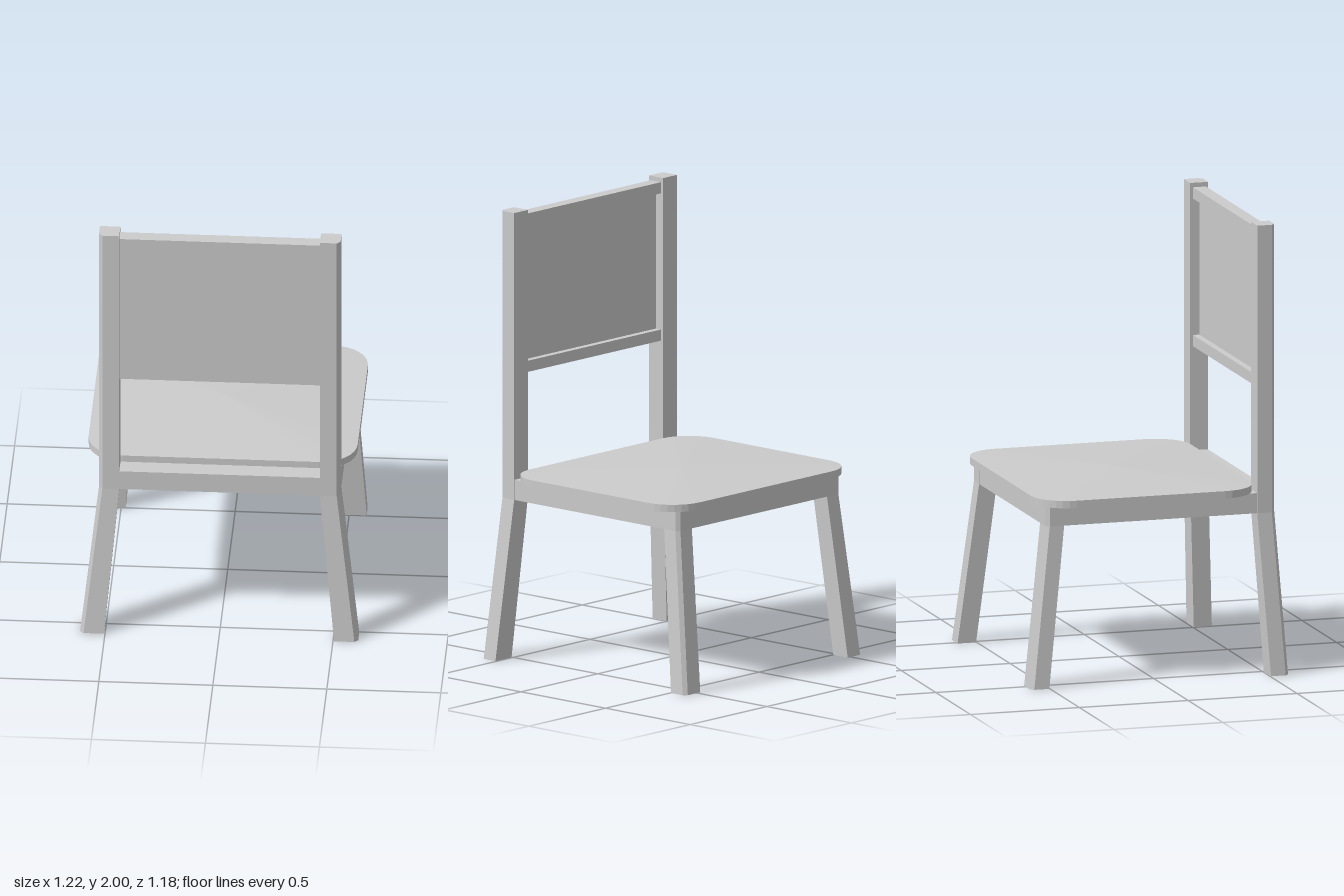
import * as THREE from 'three';

const material = new THREE.MeshStandardMaterial({ color: 0xcccccc, flatShading: true });

// Stack of rings, each { y, pts: [[x, z], ...] } running from +x towards +z,
// closed at both ends; crown lifts the centre of the top cap.
function loft(rings, crown = 0) {
  const pos = [];
  const tri = (...corners) => corners.forEach(c => pos.push(...c));
  const at = (r, i) => {
    const [x, z] = r.pts[i % r.pts.length];
    return [x, r.y, z];
  };
  const centre = (r, lift) => {
    const n = r.pts.length;
    return [r.pts.reduce((s, p) => s + p[0], 0) / n, r.y + lift, r.pts.reduce((s, p) => s + p[1], 0) / n];
  };
  const first = rings[0], last = rings[rings.length - 1];
  for (let i = 0; i < first.pts.length; i++) {
    for (let k = 0; k + 1 < rings.length; k++) {
      const lo = rings[k], hi = rings[k + 1];
      tri(at(lo, i), at(hi, i), at(hi, i + 1));
      tri(at(lo, i), at(hi, i + 1), at(lo, i + 1));
    }
    tri(centre(first, 0), at(first, i), at(first, i + 1));
    tri(centre(last, crown), at(last, i + 1), at(last, i));
  }
  const g = new THREE.BufferGeometry();
  g.setAttribute('position', new THREE.Float32BufferAttribute(pos, 3));
  g.computeVertexNormals();
  return g;
}

// Leg section with its outer corner bevelled, mirrored by the signs sx and sz
function legSection(y, xi, xo, zi, zo, sx, sz) {
  const c = 0.016;
  const pts = [[xi, zi], [xo, zi], [xo, zo - c], [xo - c, zo], [xi, zo]]
    .map(([x, z]) => [x * sx, z * sz]);
  return { y, pts: sx * sz < 0 ? pts.reverse() : pts };
}

// Rectangle with rounded corners; one segment gives a plain bevel
function roundedRect(y, hx, z0, z1, r, segments) {
  const pts = [];
  const corners = [[hx - r, z1 - r], [r - hx, z1 - r], [r - hx, z0 + r], [hx - r, z0 + r]];
  corners.forEach(([cx, cz], q) => {
    for (let i = 0; i <= segments; i++) {
      const a = (q + i / segments) * Math.PI / 2;
      pts.push([cx + r * Math.cos(a), cz + r * Math.sin(a)]);
    }
  });
  return { y, pts };
}

export function createModel() {
  const model = new THREE.Group();
  const add = (name, geometry, parent = model) => {
    const mesh = new THREE.Mesh(geometry, material);
    mesh.name = name;
    parent.add(mesh);
    return mesh;
  };
  const addBox = (name, x0, x1, y0, y1, z0, z1, parent) =>
    add(name, new THREE.BoxGeometry(x1 - x0, y1 - y0, z1 - z0), parent)
      .position.set((x0 + x1) / 2, (y0 + y1) / 2, (z0 + z1) / 2);

  // Splayed legs; the ones on the backrest side run up as posts
  for (const sx of [1, -1]) {
    const side = sx > 0 ? 'left' : 'right';
    add(side + 'PostLeg', loft([
      legSection(0, 0.505, 0.61, 0.505, 0.588, sx, 1),
      legSection(0.715, 0.44, 0.53, 0.467, 0.55, sx, 1),
      legSection(2, 0.44, 0.53, 0.467, 0.55, sx, 1),
    ]));
    add(side + 'ShortLeg', loft([
      legSection(0, 0.48, 0.577, 0.503, 0.588, sx, -1),
      legSection(0.715, 0.44, 0.53, 0.42, 0.502, sx, -1),
      legSection(0.805, 0.44, 0.53, 0.42, 0.502, sx, -1),
    ]));
  }

  // Solid apron under the seat
  add('apron', loft([
    roundedRect(0.715, 0.529, -0.501, 0.549, 0.016, 1),
    roundedRect(0.805, 0.529, -0.501, 0.549, 0.016, 1),
  ]));

  // Rounded seat with a slightly raised centre
  add('seat', loft([
    roundedRect(0.803, 0.59, -0.54, 0.465, 0.16, 8),
    roundedRect(0.836, 0.59, -0.54, 0.465, 0.16, 8),
  ], 0.022));

  // Backrest: panel flush on the outside, framed by rails on the seat side
  const backrest = new THREE.Group();
  backrest.name = 'backrest';
  model.add(backrest);
  addBox('topRail', -0.445, 0.445, 1.93, 1.98, 0.48, 0.54, backrest);
  addBox('bottomRail', -0.445, 0.445, 1.27, 1.32, 0.48, 0.54, backrest);
  addBox('backPanel', -0.445, 0.445, 1.32, 1.93, 0.51, 0.54, backrest);

  return model;
}
